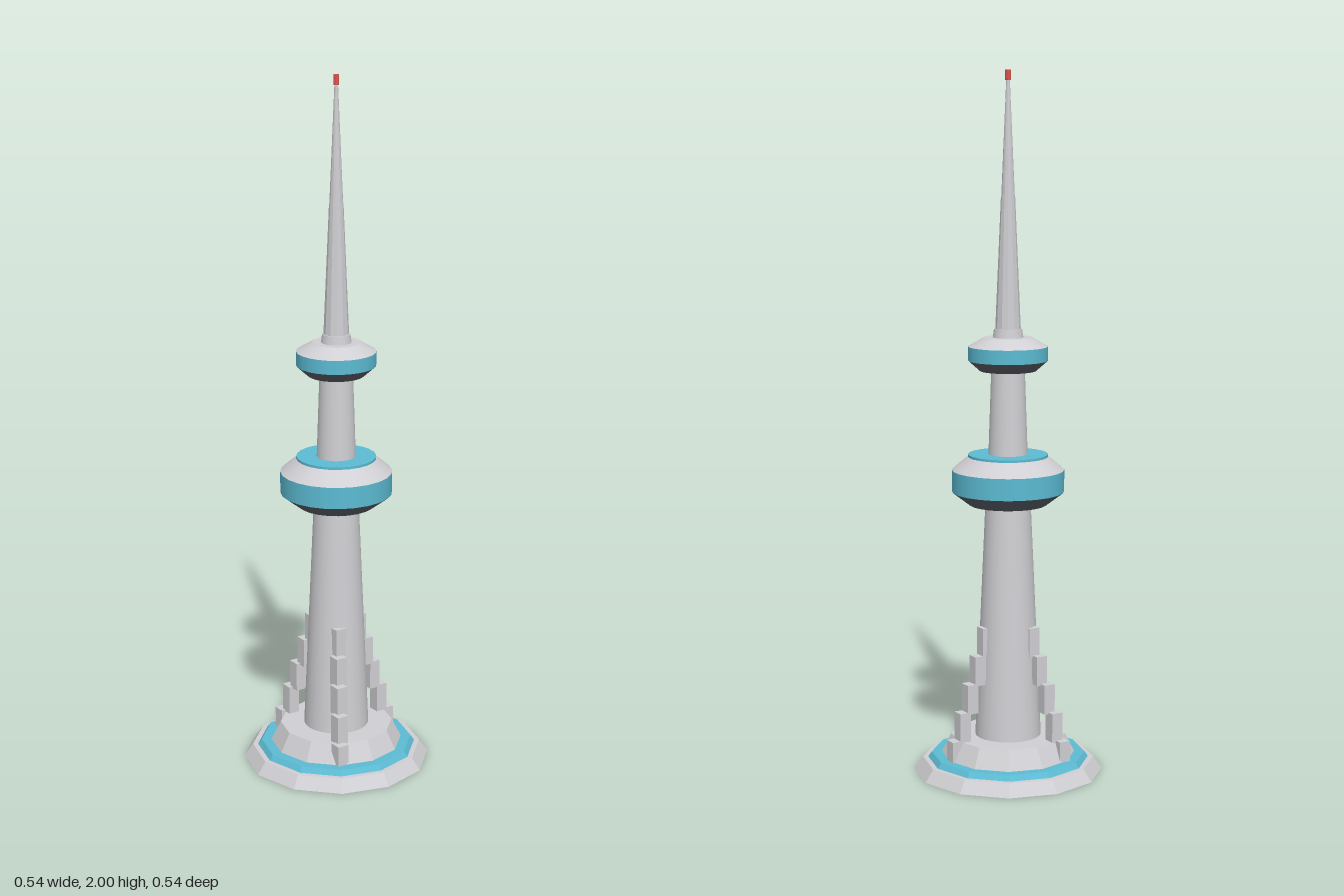
import * as THREE from 'three';

const mat = (name, color, flatShading = false) => {
  const m = new THREE.MeshStandardMaterial({ color, flatShading });
  m.name = name;
  return m;
};

export function createModel() {
  const tower = new THREE.Group();
  tower.name = 'tower';
  const concrete = mat('pale concrete', 0xd0d0d4);
  const glass = mat('teal glass', 0x5cbbd3);
  const dark = mat('dark underside', 0x5a5f67);
  const red = mat('red beacon', 0xd9534f);

  // Tapered ring section from y0 (radius r0) up to y1 (radius r1)
  function section(name, material, y0, r0, y1, r1, sides, parent = tower) {
    let geo = new THREE.CylinderGeometry(r1, r0, y1 - y0, sides);
    if (sides <= 12) {
      geo = geo.toNonIndexed();
      geo.computeVertexNormals();
    }
    const mesh = new THREE.Mesh(geo, material);
    mesh.name = name;
    mesh.position.y = (y0 + y1) / 2;
    parent.add(mesh);
  }

  // Stepped twelve-sided base
  section('baseSlab', concrete, 0, 0.272, 0.035, 0.247, 12);
  section('baseBand', glass, 0.035, 0.232, 0.05, 0.221, 12);
  section('basePlinth', concrete, 0.05, 0.192, 0.105, 0.164, 12);

  // Tapering shaft
  section('lowerShaft', concrete, 0.1, 0.095, 0.8, 0.064, 24);
  section('upperShaft', concrete, 0.8, 0.06, 1.18, 0.047, 24);

  // Observation pods: dark underside, glass band, sloping roof
  function pod(name, y, r) {
    const group = new THREE.Group();
    group.name = name;
    section('underside', dark, y[0], r[0], y[1], r[1], 24, group);
    section('windowBand', glass, y[1], r[1], y[2], r[1], 24, group);
    section('roof', concrete, y[2], r[1], y[3], r[2], 24, group);
    tower.add(group);
  }
  pod('mainPod', [0.78, 0.818, 0.88, 0.918], [0.11, 0.16, 0.115]);
  section('mainPodDeck', glass, 0.918, 0.114, 0.925, 0.114, 24);
  pod('upperPod', [1.163, 1.192, 1.232, 1.258], [0.08, 0.113, 0.068]);

  // Spire
  section('spireCollar', concrete, 1.255, 0.044, 1.282, 0.04, 16);
  section('lowerSpire', concrete, 1.282, 0.036, 1.65, 0.02, 12);
  section('upperSpire', concrete, 1.65, 0.019, 1.975, 0.005, 12);
  section('beacon', red, 1.972, 0.008, 2, 0.008, 8);

  // Three stair-stepped buttresses, one facing +x
  const block = new THREE.BoxGeometry(0.034, 0.085, 0.036);
  for (let b = 0; b < 3; b++) {
    const buttress = new THREE.Group();
    buttress.name = 'buttress';
    const angle = (b * Math.PI * 2) / 3;
    for (let i = 0; i < 5; i++) {
      const step = new THREE.Mesh(block, concrete);
      step.name = 'buttressBlock';
      const r = 0.176 - i * 0.025;
      step.position.set(Math.cos(angle) * r, 0.067 + i * 0.08, Math.sin(angle) * r);
      buttress.add(step);
    }
    tower.add(buttress);
  }
  return tower;
}
